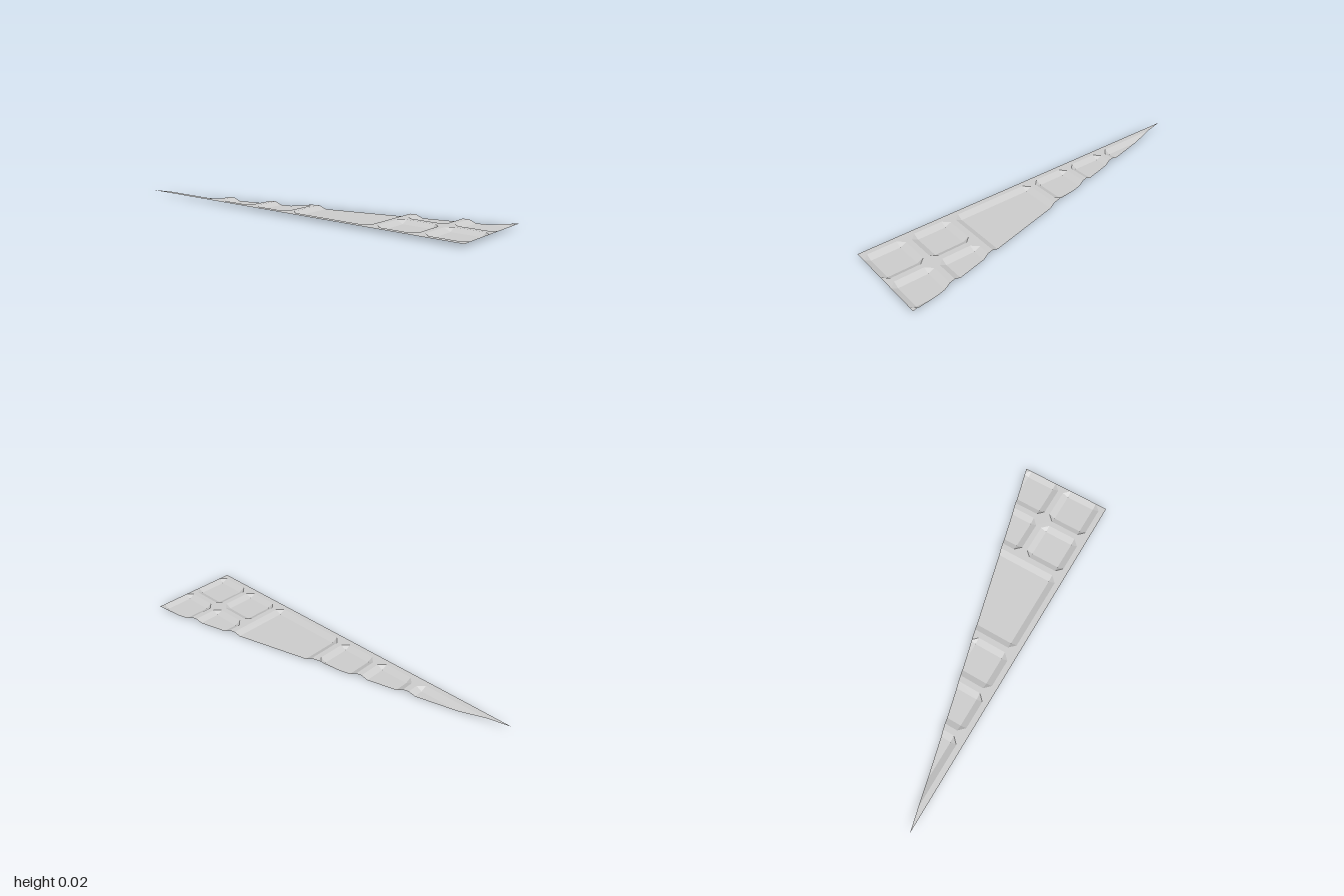
import * as THREE from 'three';

const TOP = 0.0165;   // rim height above the tray floors
const GAP = 0.03;     // rib between neighbouring trays
const BEVEL = 0.033;  // slope width and corner cut

// Signed side of the sloping rear edge, from (-1, 0.25) to (1, -0.25)
const side = (p) => p.z + 0.25 * p.x;

// Cut a convex polygon along the sloping edge
function clip(poly) {
  const out = [];
  poly.forEach((p, i) => {
    const q = poly[(i + 1) % poly.length];
    const a = side(p), b = side(q);
    if (a >= 0) out.push(p);
    if (a * b < 0) out.push(p.clone().lerp(q, a / (a - b)));
  });
  return out;
}

// Corners of a rectangle at a given height
const rect = (x0, z0, x1, z1, y) => [[x0, z0], [x1, z0], [x1, z1], [x0, z1]]
  .map(([x, z]) => new THREE.Vector3(x, y, z));

// Polygons of one cell: flat rim, sloping walls, cut corners, floor
function cellPolygons(x0, z0, x1, z1) {
  const outer = rect(x0, z0, x1, z1, TOP);
  const mouth = rect(x0 + GAP, z0, x1, z1 - GAP, TOP);
  const floor = rect(x0 + GAP + BEVEL, z0 + BEVEL, x1 - BEVEL, z1 - GAP - BEVEL, 0);
  const toward = (p, q) => p.clone().addScaledVector(q.clone().sub(p).normalize(), BEVEL);
  const rim = [], tray = [floor];
  for (let k = 0; k < 4; k++) {
    const n = (k + 1) % 4, prev = (k + 3) % 4;
    const a = toward(mouth[k], mouth[prev]);
    const b = toward(mouth[k], mouth[n]);
    const c = toward(mouth[n], mouth[k]);
    rim.push([outer[k], a, b], [outer[k], b, c, outer[n]]);
    tray.push([a, b, floor[k]], [b, c, floor[n], floor[k]]);
  }
  return { rim, tray };
}

// Clipped, flat-faced mesh with every face turned upward
function buildMesh(name, polygons, material) {
  const pos = [], tri = new THREE.Triangle(), normal = new THREE.Vector3();
  for (const poly of polygons.map(clip)) {
    for (let i = 1; i < poly.length - 1; i++) {
      tri.set(poly[0], poly[i], poly[i + 1]);
      if (tri.getArea() < 1e-8) continue;
      const up = tri.getNormal(normal).y > 0;
      for (const p of up ? [tri.a, tri.b, tri.c] : [tri.a, tri.c, tri.b]) pos.push(p.x, p.y, p.z);
    }
  }
  const geometry = new THREE.BufferGeometry();
  geometry.setAttribute('position', new THREE.Float32BufferAttribute(pos, 3));
  geometry.computeVertexNormals();
  const mesh = new THREE.Mesh(geometry, material);
  mesh.name = name;
  return mesh;
}

export function createModel() {
  const group = new THREE.Group();
  group.name = 'triangularPanel';
  const material = new THREE.MeshStandardMaterial({
    color: 0xcccccc, flatShading: true, side: THREE.DoubleSide,
  });

  // Cells as [x0, z0, x1, z1]
  const cells = [
    [-1, 0, -0.5, 0.25],
    [-0.5, 0, -0.25, 0.25],
    [-0.25, 0, 0, 0.25],
    [0, -0.25, 0.5, 0.25],
  ];
  for (const x of [0.5, 0.75])
    for (const z of [-0.25, 0]) cells.push([x, z, x + 0.25, z + 0.25]);

  const ribs = [];
  cells.forEach((cell, i) => {
    const { rim, tray } = cellPolygons(...cell);
    ribs.push(...rim);
    group.add(buildMesh(`tray${i + 1}`, tray, material));
  });
  group.add(buildMesh('rimAndRibs', ribs, material));
  return group;
}
